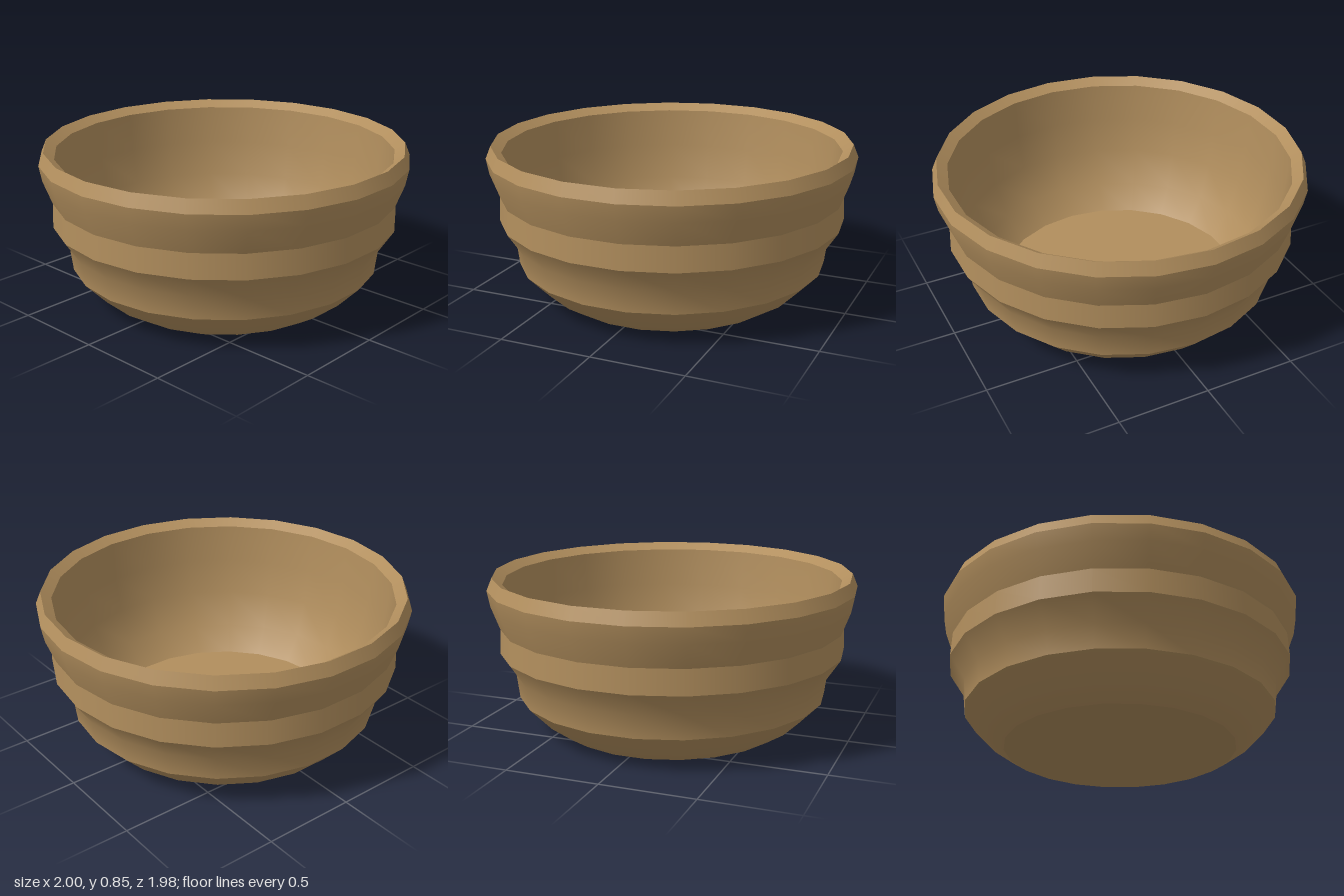
import * as THREE from 'three';

const SIDES = 22;

export function createModel() {
  const model = new THREE.Group();
  model.name = 'bowl';
  const clay = new THREE.MeshStandardMaterial({ color: 0xb18e5d });
  clay.name = 'tan clay';

  // Each band is its own lathe, so shading is smooth inside it and sharp at its edges
  const band = (name, ...profile) => {
    const points = profile.map(([r, y]) => new THREE.Vector2(r, y));
    const mesh = new THREE.Mesh(new THREE.LatheGeometry(points, SIDES, Math.PI / 2), clay);
    mesh.name = name;
    model.add(mesh);
  };

  // Outside, from the underside up to the lip
  band('underside', [0, 0], [0.625, 0]);
  band('foot', [0.625, 0], [0.725, 0.064], [0.845, 0.188]);
  band('lowerBelly', [0.845, 0.188], [0.861, 0.316], [0.942, 0.44]);
  band('waist', [0.942, 0.44], [0.936, 0.572]);
  band('upperFlare', [0.936, 0.572], [0.984, 0.7], [1, 0.786]);
  band('lipOutside', [1, 0.786], [0.972, 0.853]);

  // Inside, from the lip down to the floor
  band('lipInside', [0.972, 0.853], [0.917, 0.815]);
  band('innerWall', [0.917, 0.815], [0.895, 0.6], [0.86, 0.4], [0.79, 0.2], [0.673, 0.07]);
  band('floor', [0.673, 0.07], [0, 0.07]);

  return model;
}
